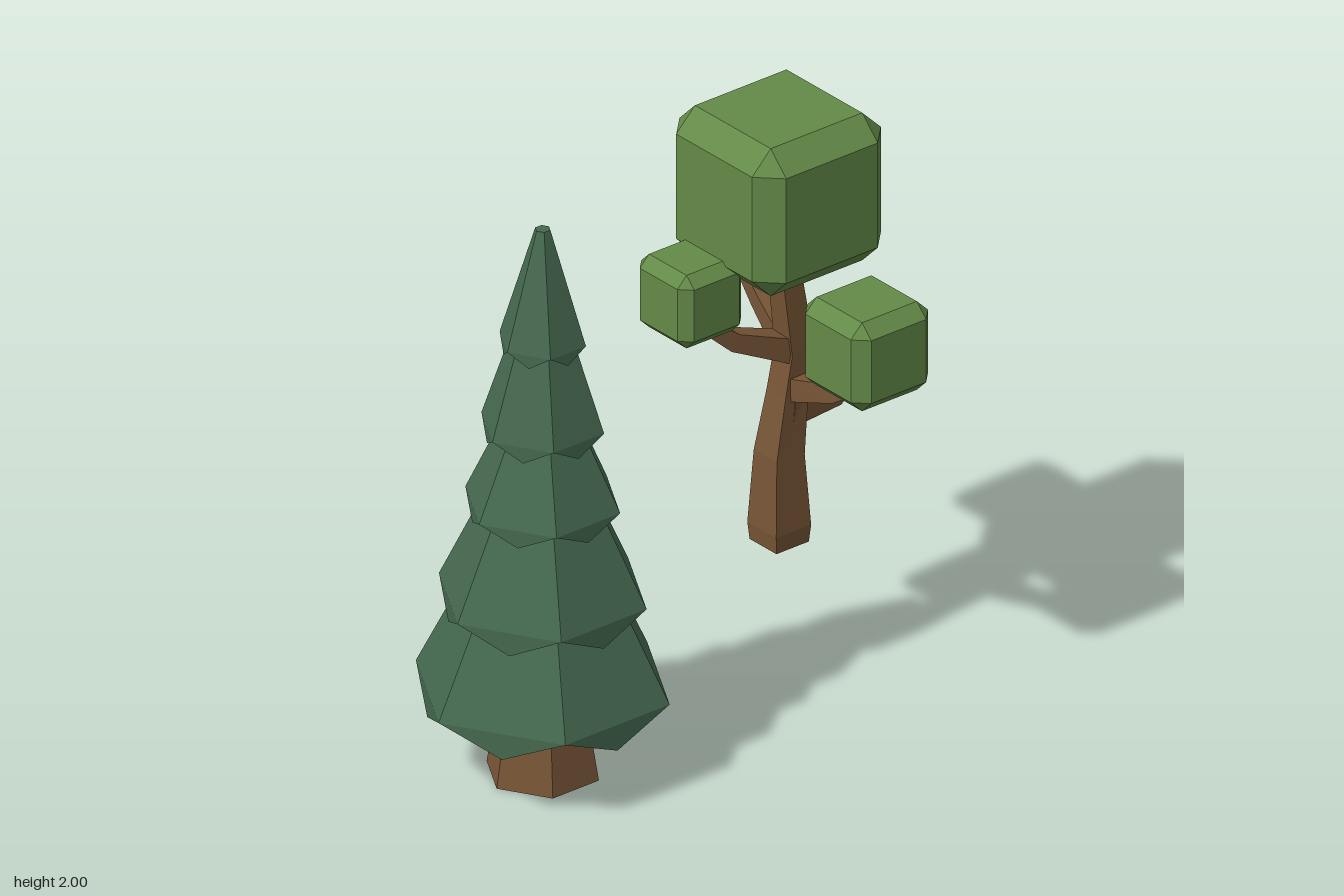
import * as THREE from 'three';
import { ConvexGeometry } from 'three/addons/geometries/ConvexGeometry.js';

function material(name, color) {
  const m = new THREE.MeshStandardMaterial({ color });
  m.name = name;
  return m;
}

// Faceted geometry from points and triangle indices
function faceted(points, index) {
  const g = new THREE.BufferGeometry();
  g.setAttribute('position', new THREE.Float32BufferAttribute(points.flat(), 3));
  g.setIndex(index);
  const flat = g.toNonIndexed();
  flat.computeVertexNormals();
  return flat;
}

// Six-sided skirt of needles with a zigzag lower rim
function tierGeometry(r, yCorner, yTip, rTop, yTop) {
  const points = [], index = [];
  const ring = (radius, y, shift) => {
    for (let k = 0; k < 6; k++) {
      const a = (k + shift) * Math.PI / 3;
      points.push([radius * Math.sin(a), y, radius * Math.cos(a)]);
    }
  };
  ring(r, yCorner, 0);
  ring(r * Math.cos(Math.PI / 6), yTip, 0.5);
  ring(rTop, yTop, 0);
  points.push([0, yCorner + 0.02, 0], [0, yTop, 0]);
  for (let k = 0; k < 6; k++) {
    const n = (k + 1) % 6, tip = 6 + k, t = 12 + k, tn = 12 + n;
    index.push(k, n, tn, k, tn, t); // sloping face
    index.push(k, tip, n); // hanging point
    index.push(18, tip, k, 18, n, tip); // underside
    index.push(19, t, tn); // top
  }
  return faceted(points, index);
}

// Square-section limb through stations [x, y, z, half width]
function limbGeometry(stations, ref) {
  const p = stations.map(s => new THREE.Vector3(s[0], s[1], s[2]));
  const points = [], index = [], last = p.length - 1;
  p.forEach((c, i) => {
    const t = p[Math.min(i + 1, last)].clone().sub(p[Math.max(i - 1, 0)]).normalize();
    const side = t.clone().cross(ref).normalize();
    const up = side.clone().cross(t);
    const h = stations[i][3];
    for (const [a, b] of [[-1, -1], [1, -1], [1, 1], [-1, 1]]) {
      points.push(c.clone().addScaledVector(side, a * h).addScaledVector(up, b * h).toArray());
    }
    if (i < last) {
      for (let j = 0; j < 4; j++) {
        const a = i * 4 + j, b = i * 4 + (j + 1) % 4;
        index.push(a, a + 4, b, b, a + 4, b + 4);
      }
    }
  });
  const e = last * 4;
  index.push(0, 1, 2, 0, 2, 3, e, e + 2, e + 1, e, e + 3, e + 2);
  return faceted(points, index);
}

// Cube with chamfered edges and corners
function chamferedCube(size) {
  const h = size / 2, i = h - size * 0.145, pts = [];
  for (const x of [-1, 1]) for (const y of [-1, 1]) for (const z of [-1, 1]) {
    pts.push(
      new THREE.Vector3(x * h, y * i, z * i),
      new THREE.Vector3(x * i, y * h, z * i),
      new THREE.Vector3(x * i, y * i, z * h));
  }
  return new ConvexGeometry(pts);
}

export function createModel() {
  const bark = material('bark brown', 0x775536);
  const needles = material('pine green', 0x45694f);
  const leaves = material('leaf green', 0x648a48);

  const model = new THREE.Group();
  const add = (parent, name, geometry, mat) => {
    const mesh = new THREE.Mesh(geometry, mat);
    mesh.name = name;
    parent.add(mesh);
    return mesh;
  };

  // Pine tree
  const pine = new THREE.Group();
  pine.name = 'pineTree';
  pine.position.z = 0.47;
  model.add(pine);
  const stump = new THREE.CylinderGeometry(0.125, 0.185, 0.36, 6).toNonIndexed();
  stump.computeVertexNormals();
  add(pine, 'pineTrunk', stump, bark).position.y = 0.18;
  [
    [0.418, 0.31, 0.22, 0.245, 0.66],
    [0.342, 0.63, 0.55, 0.18, 0.97],
    [0.255, 0.95, 0.89, 0.125, 1.23],
    [0.202, 1.22, 1.165, 0.1, 1.53],
    [0.142, 1.515, 1.47, 0.025, 1.9],
  ].forEach((tier, i) => add(pine, `pineTier${i + 1}`, tierGeometry(...tier), needles));

  // Leafy tree: bent trunk and branches
  const tree = new THREE.Group();
  tree.name = 'leafyTree';
  model.add(tree);
  const yAxis = new THREE.Vector3(0, 1, 0), zAxis = new THREE.Vector3(0, 0, 1);
  add(tree, 'leafyTrunk', limbGeometry([
    [0.01, 0.49, -0.47, 0.065], [0.01, 0.55, -0.47, 0.07], [0.01, 0.8, -0.47, 0.056],
    [0.01, 1.0, -0.503, 0.046], [0.01, 1.15, -0.53, 0.044], [0.01, 1.55, -0.475, 0.034],
  ], zAxis), bark);
  const branches = {
    leftBranch: [[0.01, 1.02, -0.51, 0.04], [0.2, 1.07, -0.54, 0.032], [0.34, 1.15, -0.56, 0.024]],
    rightBranch: [[0.01, 1.14, -0.525, 0.042], [-0.18, 1.23, -0.56, 0.03], [-0.37, 1.38, -0.585, 0.022]],
    frontBranch: [[0.01, 1.15, -0.52, 0.042], [-0.02, 1.24, -0.3, 0.03], [-0.04, 1.34, -0.18, 0.022]],
    backBranch: [[0.01, 0.95, -0.49, 0.05], [0.01, 0.927, -0.69, 0.028], [0.01, 1.02, -0.81, 0.022]],
  };
  for (const [name, stations] of Object.entries(branches)) {
    add(tree, name, limbGeometry(stations, yAxis), bark);
  }

  // Leaf blocks: name, size, centre
  [
    ['crownLeaves', 0.517, 0.007, 1.742, -0.47],
    ['leftLeaves', 0.31, 0.325, 1.28, -0.56],
    ['rightLeaves', 0.246, -0.358, 1.472, -0.587],
    ['frontLeaves', 0.256, -0.042, 1.445, -0.157],
    ['backLeaves', 0.194, 0.01, 1.095, -0.795],
  ].forEach(([name, size, x, y, z]) => {
    add(tree, name, chamferedCube(size), leaves).position.set(x, y, z);
  });

  return model;
}
